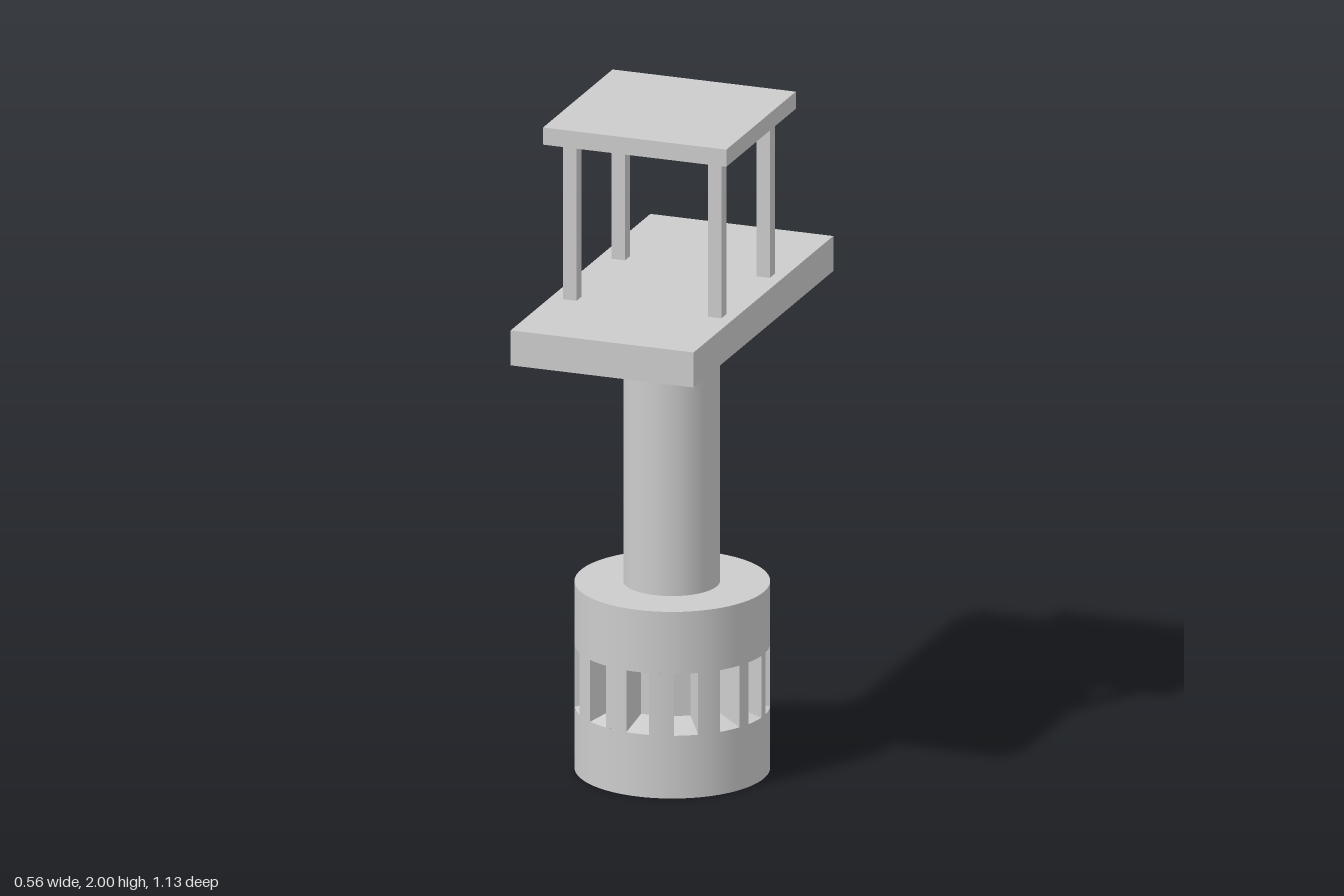
import * as THREE from 'three';

const R = 0.281, BASE_H = 0.565;           // drum size
const WIN_LOW = 0.19, WIN_HIGH = 0.377;    // window sill and head
const WIN_HALF = 0.035, WIN_R = 0.18;      // half width, radius of the recess back
const WINDOWS = [0, 29, 57, 79, 100, 129, 156, 185, 214, 244, 270, 302, 331];

const material = new THREE.MeshStandardMaterial({ color: 0xcccccc });

function add(parent, name, geometry, x = 0, y = 0, z = 0) {
  const mesh = new THREE.Mesh(geometry, material);
  mesh.name = name;
  mesh.position.set(x, y, z);
  parent.add(mesh);
  return mesh;
}

// Tapered recess facing +z: an outer ring on the drum wall joined to a smaller flat back
function recessGeometry() {
  const n = 4, outer = [], inner = [];
  const half = Math.asin(WIN_HALF / R);
  for (const dir of [1, -1]) {
    for (let i = 0; i <= n; i++) {
      const t = dir * (2 * i / n - 1);
      outer.push([R * Math.sin(t * half), dir > 0 ? WIN_LOW : WIN_HIGH, R * Math.cos(t * half)]);
      inner.push([t * 0.027, dir > 0 ? WIN_LOW + 0.026 : WIN_HIGH - 0.026, WIN_R]);
    }
  }
  const centre = [0, (WIN_LOW + WIN_HIGH) / 2, WIN_R], points = [];
  outer.forEach((o, i) => {
    const j = (i + 1) % outer.length;
    points.push(o, outer[j], inner[j], o, inner[j], inner[i], centre, inner[i], inner[j]);
  });
  const geometry = new THREE.BufferGeometry();
  geometry.setAttribute('position', new THREE.Float32BufferAttribute(points.flat(), 3));
  geometry.computeVertexNormals();
  return geometry;
}

function createBase() {
  const base = new THREE.Group();
  base.name = 'base';
  const wall = (name, y0, y1, segments, start = 0, length = Math.PI * 2) =>
    add(base, name, new THREE.CylinderGeometry(R, R, y1 - y0, segments, 1, true, start, length), 0, (y0 + y1) / 2, 0);

  wall('lowerWall', 0, WIN_LOW, 96);
  wall('upperWall', WIN_HIGH, BASE_H, 96);
  add(base, 'baseTop', new THREE.CircleGeometry(R, 96), 0, BASE_H, 0).rotation.x = -Math.PI / 2;
  add(base, 'baseBottom', new THREE.CircleGeometry(R, 96)).rotation.x = Math.PI / 2;

  // Recessed windows and the wall piers between them
  const half = Math.asin(WIN_HALF / R), recess = recessGeometry();
  WINDOWS.forEach((deg, i) => {
    const angle = THREE.MathUtils.degToRad(deg);
    const next = THREE.MathUtils.degToRad(WINDOWS[i + 1] ?? 360);
    add(base, 'window', recess).rotation.y = angle;
    wall('pier', WIN_LOW, WIN_HIGH, 6, angle + half, next - angle - 2 * half);
  });
  return base;
}

export function createModel() {
  const model = new THREE.Group();
  model.name = 'tower';
  model.add(createBase());

  // Shaft and deck
  add(model, 'column', new THREE.CylinderGeometry(0.139, 0.139, 0.8, 64), -0.002, 0.965, 0);
  add(model, 'platform', new THREE.BoxGeometry(0.562, 0.106, 1.126), -0.001, 1.413, 0);

  // Canopy on four posts
  for (const x of [-0.221, 0.224])
    for (const z of [0.226, -0.165])
      add(model, 'post', new THREE.BoxGeometry(0.041, 0.5, 0.041), x, 1.71, z);
  add(model, 'roof', new THREE.BoxGeometry(0.563, 0.052, 0.561), 0.001, 1.974, 0.026);
  return model;
}
